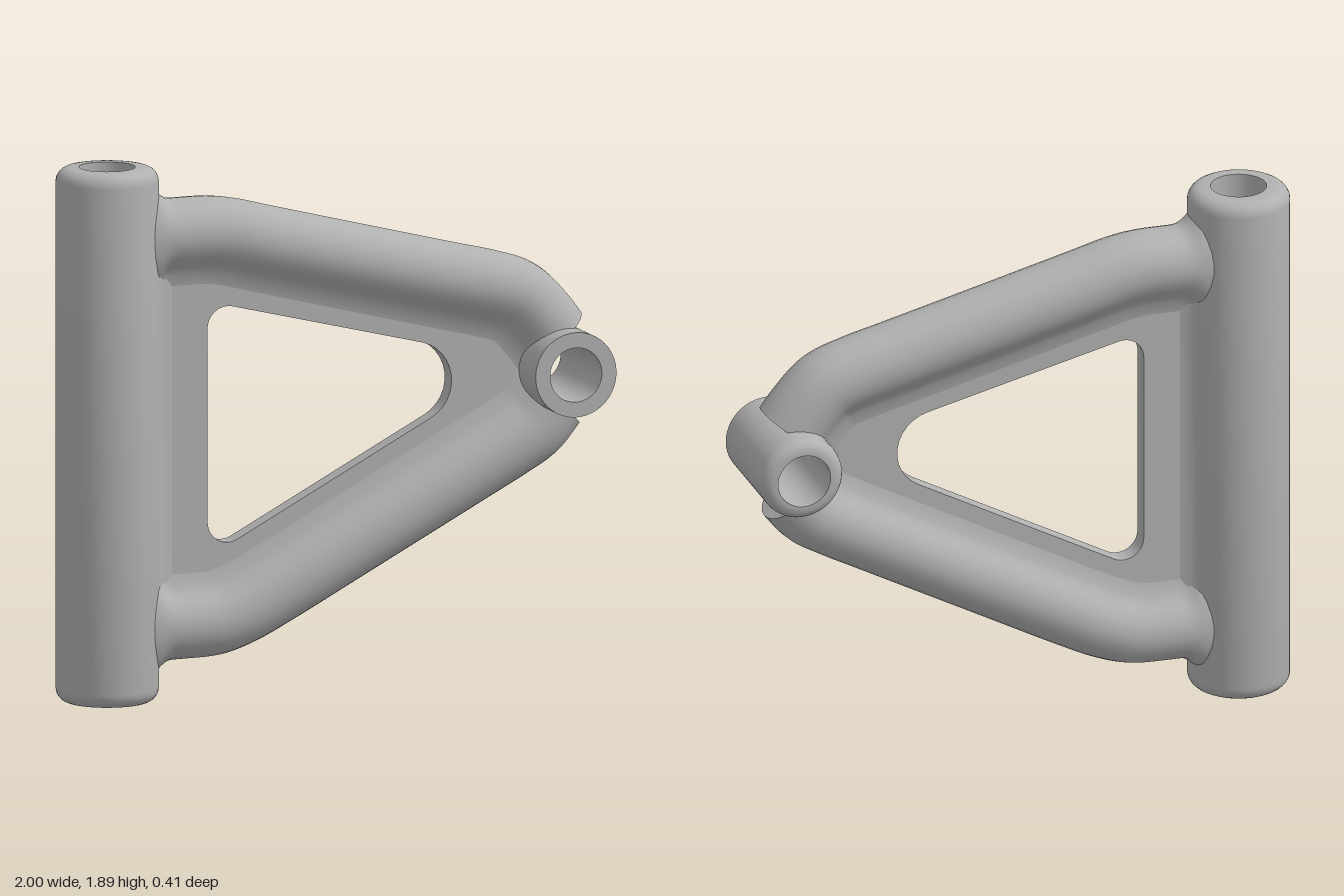
import * as THREE from 'three';
import { toCreasedNormals } from 'three/addons/utils/BufferGeometryUtils.js';

const V2 = (p) => new THREE.Vector2(p[0], p[1]);

// Hollow tube along y; r0 and r1 round the outer rim at the bottom and top
function hollowTube(outer, bore, y0, y1, r0, r1) {
  const pts = [[bore, y0]];
  const rim = (r, cy, start) => {
    if (r === 0) return pts.push([outer, cy]);
    for (let i = 0; i <= 5; i++) {
      const a = start + (i / 5) * Math.PI / 2;
      pts.push([outer - r + r * Math.cos(a), cy + r * Math.sin(a)]);
    }
  };
  rim(r0, y0 + r0, -Math.PI / 2);
  rim(r1, y1 - r1, 0);
  pts.push([bore, y1], [bore, y0]);
  return toCreasedNormals(new THREE.LatheGeometry(pts.map(V2), 48), 0.7);
}

// Arm cross-section: d points outward, the inner side sweeps into the web
function armProfile() {
  const pts = [];
  for (let i = 0; i <= 20; i++) {
    const a = THREE.MathUtils.degToRad(-140 + 14 * i);
    pts.push([0.125 * Math.cos(a), 0.123 * Math.sin(a)]);
  }
  const fillet = [[-0.115, 0.06], [-0.14, 0.044], [-0.185, 0.034]];
  return [...pts, ...fillet, ...fillet.map(([d, z]) => [d, -z]).reverse()];
}

// Sweep the arm section along a path in the xy plane, flaring it at the pivot
function sweepArm(path) {
  const curve = new THREE.CatmullRomCurve3(path.map(([x, y]) => new THREE.Vector3(x, y, 0)));
  const profile = armProfile(), n = profile.length, rings = 90;
  const pos = [], index = [];
  for (let i = 0; i <= rings; i++) {
    const p = curve.getPointAt(i / rings), t = curve.getTangentAt(i / rings);
    const u = THREE.MathUtils.clamp((-0.59 - p.x) / 0.07, 0, 1);
    const flare = 1 + 0.45 * u * u;
    for (const [d, z] of profile) pos.push(p.x - t.y * d * flare, p.y + t.x * d * flare, z);
  }
  for (let i = 0; i < rings; i++) {
    for (let j = 0; j < n; j++) {
      const a = i * n + j, b = i * n + (j + 1) % n;
      index.push(a, b, b + n, a, b + n, a + n);
    }
  }
  // end caps
  [[0, 0], [1, rings]].forEach(([end, ring]) => {
    const c = curve.getPointAt(end), k = pos.length / 3;
    pos.push(c.x, c.y, 0);
    for (let j = 0; j < n; j++) {
      const a = ring * n + j, b = ring * n + (j + 1) % n;
      index.push(k, ...(end ? [a, b] : [b, a]));
    }
  });
  const g = new THREE.BufferGeometry();
  g.setAttribute('position', new THREE.Float32BufferAttribute(pos, 3));
  g.setIndex(index);
  return toCreasedNormals(g, 0.8);
}

// Closed path from corners [x, y, radius], each rounded by a true arc
function roundedPath(corners) {
  const pts = [];
  corners.forEach(([x, y, r], i) => {
    const c = new THREE.Vector2(x, y), m = corners.length;
    const u = V2(corners[(i + m - 1) % m]).sub(c).normalize();
    const v = V2(corners[(i + 1) % m]).sub(c).normalize();
    const half = Math.acos(u.dot(v)) / 2;
    const centre = u.clone().add(v).normalize().multiplyScalar(r / Math.sin(half)).add(c);
    const from = u.multiplyScalar(r / Math.tan(half)).add(c).sub(centre);
    const to = v.multiplyScalar(r / Math.tan(half)).add(c).sub(centre);
    const a0 = from.angle();
    let da = to.angle() - a0;
    if (da > Math.PI) da -= 2 * Math.PI;
    if (da < -Math.PI) da += 2 * Math.PI;
    for (let k = 0; k <= 12; k++) {
      const a = a0 + da * k / 12;
      pts.push(new THREE.Vector2(centre.x + r * Math.cos(a), centre.y + r * Math.sin(a)));
    }
  });
  return new THREE.Path(pts);
}

export function createModel() {
  const group = new THREE.Group();
  const metal = new THREE.MeshStandardMaterial({ color: 0xb0b0b0 });
  metal.name = 'plain grey metal';
  const add = (name, geometry, x = 0, y = 0) => {
    const mesh = new THREE.Mesh(geometry, metal);
    mesh.name = name;
    mesh.position.set(x, y, 0);
    group.add(mesh);
  };

  // Long pivot sleeve and the small cross bushing at the tip
  add('pivotSleeve', hollowTube(0.18, 0.098, 0, 1.89, 0.05, 0.05), -0.82);
  add('tipBushing', hollowTube(0.15, 0.096, -0.21, 0.205, 0.045, 0).rotateX(Math.PI / 2), 0.845, 1.085);

  // Two bent arms, ending inside the walls of the sleeve and bushing
  add('upperArm', sweepArm([
    [-0.7, 1.64], [-0.58, 1.64], [-0.46, 1.64], [-0.38, 1.63], [-0.25, 1.597], [0.1, 1.508],
    [0.45, 1.42], [0.59, 1.385], [0.7, 1.345], [0.785, 1.262], [0.832, 1.2],
  ]));
  add('lowerArm', sweepArm([
    [0.828, 0.96], [0.76, 0.88], [0.68, 0.83], [0.5, 0.733], [0.1, 0.519],
    [-0.2, 0.359], [-0.32, 0.3], [-0.42, 0.267], [-0.54, 0.26], [-0.7, 0.26],
  ]));

  // Thin web between the arms with a rounded triangular opening
  const web = new THREE.Shape([
    [-0.7, 0.26], [-0.45, 0.26], [-0.31, 0.3], [0.7, 0.84], [0.76, 0.88], [0.72, 1.085],
    [0.74, 1.3], [0.7, 1.345], [0.59, 1.385], [-0.38, 1.63], [-0.46, 1.64], [-0.7, 1.64],
  ].map(V2));
  web.holes.push(roundedPath([[-0.46, 1.397, 0.075], [-0.46, 0.491, 0.075], [0.704, 1.114, 0.145]]));
  const webGeometry = new THREE.ExtrudeGeometry(web, { depth: 0.07, bevelEnabled: false });
  add('web', toCreasedNormals(webGeometry.translate(0, 0, -0.035), 0.6));

  // Concave blend where the web meets the sleeve
  const side = [[-0.7, 0.12], [-0.673, 0.103], [-0.65, 0.068], [-0.63, 0.048], [-0.59, 0.034]];
  const blend = new THREE.Shape([...side, ...side.map(([x, z]) => [x, -z]).reverse()].map(V2));
  const blendGeometry = new THREE.ExtrudeGeometry(blend, { depth: 1.38, bevelEnabled: false });
  add('sleeveBlend', toCreasedNormals(blendGeometry.rotateX(-Math.PI / 2), 0.7), 0, 0.26);

  return group;
}
